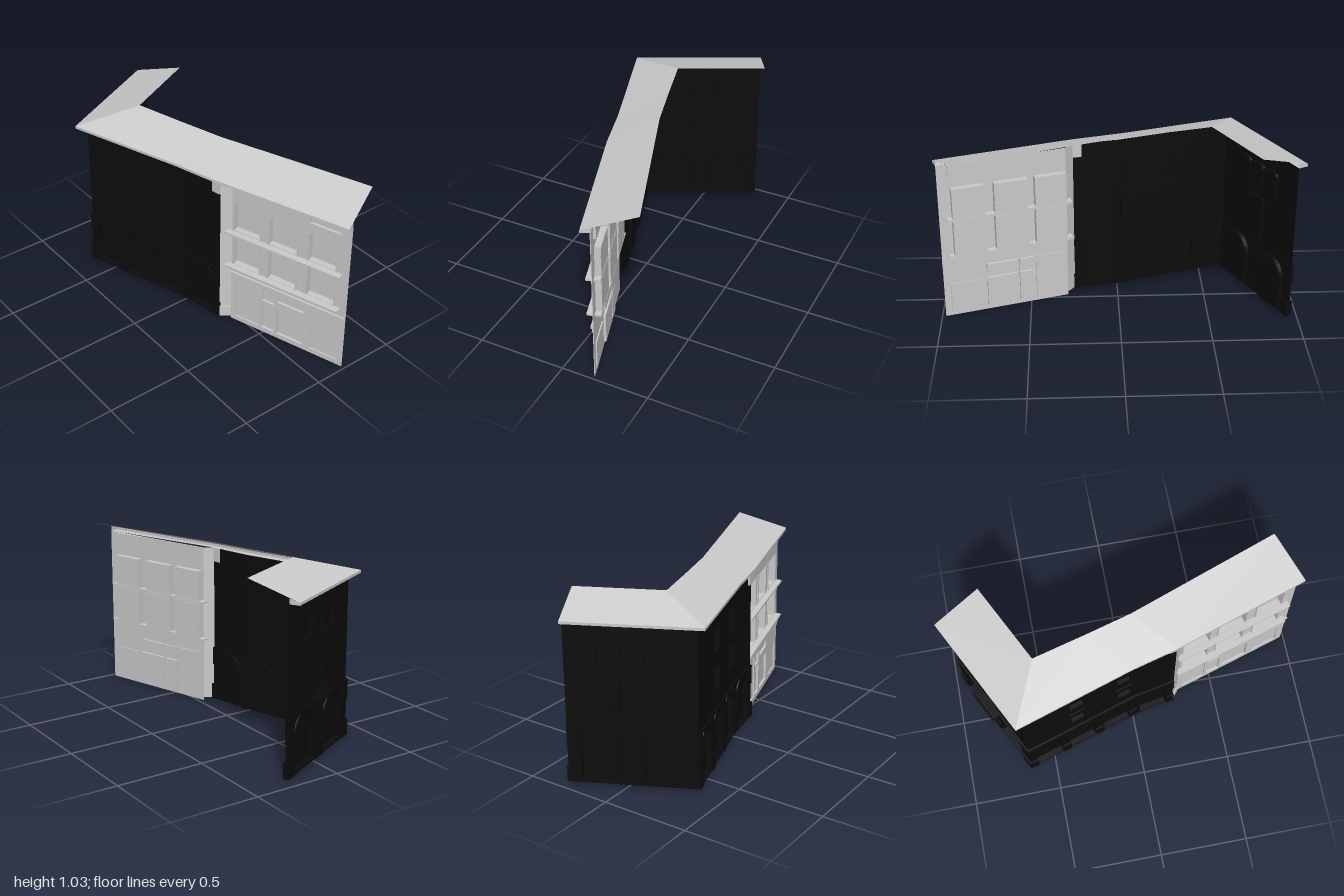
import * as THREE from 'three';

const grey = new THREE.MeshStandardMaterial({ color: 0xcccccc, side: THREE.DoubleSide, flatShading: true });
const dark = new THREE.MeshStandardMaterial({ color: 0x0c0c0c, side: THREE.DoubleSide, flatShading: true });

// Plan points [x, z]: wall line, eave line and high roof edge
const WALL = [[0.285, -0.95], [-0.34, -0.64], [-0.135, 0], [-0.085, 0.25], [-0.035, 0.29], [0.18, 0.98]];
const EAVE = [[0.26, -1], [-0.4, -0.67], [-0.19, -0.02], [-0.12, 0.24], [0.135, 1]];
const RIDGE = [[0.385, -0.74], [-0.06, -0.52], [0.02, -0.22], [0.09, 0.03], [0.4, 0.88]];
const EAVE_LOW = 0.93, EAVE_TOP = 0.945, RIDGE_Y = 1.03;

function add(parent, name, geometry, material) {
  const mesh = new THREE.Mesh(geometry, material);
  mesh.name = name;
  parent.add(mesh);
  return mesh;
}

// Box given by its limits in the wall's own frame (x along, y up, z outward)
function box(parent, name, material, x0, x1, y0, y1, z0, z1) {
  const m = add(parent, name, new THREE.BoxGeometry(x1 - x0, y1 - y0, z1 - z0), material);
  m.position.set((x0 + x1) / 2, (y0 + y1) / 2, (z0 + z1) / 2);
  return m;
}

// Outline of an opening; rise is the height of its arched top
function outline({ x, w, y0, y1, rise = 0 }, grow = 0, Type = THREE.Shape) {
  const h = w / 2 + grow, s = new Type();
  const top = y1 + grow, spring = top - rise;
  s.moveTo(x - h, y0 - grow);
  s.lineTo(x + h, y0 - grow);
  s.lineTo(x + h, spring);
  if (rise) for (let i = 1; i < 14; i++) {
    const a = Math.PI * i / 14;
    s.lineTo(x + h * Math.cos(a), spring + rise * Math.sin(a));
  }
  s.lineTo(x - h, spring);
  s.closePath();
  return s;
}

function slab(parent, name, material, shape, z0, z1) {
  const g = new THREE.ExtrudeGeometry(shape, { depth: z1 - z0, bevelEnabled: false });
  add(parent, name, g, material).position.z = z0;
}

function ring(parent, name, material, o, grow, z0, z1) {
  const s = outline(o, grow);
  s.holes.push(outline(o, 0, THREE.Path));
  slab(parent, name, material, s, z0, z1);
}

// Thin wall between two plan points, with recessed openings
function wall(parent, name, material, a, b, y0, openings = []) {
  const g = new THREE.Group();
  g.name = name;
  const dx = b[0] - a[0], dz = b[1] - a[1], length = Math.hypot(dx, dz);
  g.position.set(a[0], 0, a[1]);
  g.rotation.y = Math.atan2(-dz, dx);
  const s = outline({ x: length / 2, w: length, y0, y1: EAVE_LOW });
  for (const o of openings) {
    const d = o.depth ?? 0.03;
    s.holes.push(outline(o, 0, THREE.Path));
    ring(g, 'reveal', material, o, 0.004, -d, -0.001);
    slab(g, 'recessedPane', material, outline(o, 0.003), -d - 0.003, -d);
    if (o.trim) ring(g, 'openingTrim', material, o, o.trim, 0, 0.008);
  }
  slab(g, 'wallSheet', material, s, -0.004, 0);
  g.userData.length = length;
  parent.add(g);
  return g;
}

// Arcade pier with plinth and capital, standing through the wall
function pier(parent, x, w) {
  box(parent, 'pierPlinth', dark, x - w / 2 - 0.004, x + w / 2 + 0.004, 0.02, 0.11, -0.02, 0.014);
  box(parent, 'pierShaft', dark, x - w / 2 + 0.004, x + w / 2 - 0.004, 0.11, 0.23, -0.012, 0.006);
  box(parent, 'pierCapital', dark, x - w / 2, x + w / 2, 0.23, 0.335, -0.014, 0.01);
}

const arch = (x, w) => ({ x, w, y0: 0.03, y1: 0.32, rise: w * 0.5, depth: 0.025, trim: 0.012 });
const stringCourse = (g) => box(g, 'stringCourse', dark, 0, g.userData.length, 0.332, 0.345, -0.004, 0.012);

// Short wing: two wide arches, balcony window, three arched windows
function shortWing(root) {
  const g = wall(root, 'shortWingWall', dark, WALL[0], WALL[1], 0.02, [
    arch(0.18, 0.21), arch(0.52, 0.21),
    { x: 0.35, w: 0.12, y0: 0.39, y1: 0.625, depth: 0.02, trim: 0.01 },
    ...[-1, 0, 1].map((i) => ({ x: 0.35 + i * 0.125, w: 0.105, y0: 0.7, y1: 0.83, rise: 0.025, depth: 0.02 })),
  ]);
  [[0.03, 0.06], [0.35, 0.09], [0.67, 0.06]].forEach(([x, w]) => pier(g, x, w));
  stringCourse(g);
  // Balcony with railing
  const balcony = new THREE.Group();
  balcony.name = 'railedBalcony';
  g.add(balcony);
  box(balcony, 'balconyFloor', dark, 0.26, 0.44, 0.365, 0.375, 0, 0.062);
  box(balcony, 'handrail', dark, 0.26, 0.44, 0.452, 0.458, 0.056, 0.062);
  for (const x of [0.26, 0.436]) box(balcony, 'sideRail', dark, x, x + 0.004, 0.452, 0.458, 0, 0.06);
  for (let i = 0; i <= 12; i++) {
    const x = 0.26 + i * 0.0147;
    box(balcony, 'baluster', dark, x, x + 0.003, 0.375, 0.453, 0.058, 0.061);
  }
}

// Long wing: arcade with small windows over it
function longWing(root) {
  const windows = [0.32, 0.612].flatMap((x) => [[0.46, 0.575], [0.685, 0.8]]
    .map(([y0, y1]) => ({ x, w: 0.08, y0, y1, depth: 0.015, trim: 0.006 })));
  const a = wall(root, 'longWingWall', dark, WALL[1], WALL[2], 0.02,
    [arch(0.12, 0.165), arch(0.338, 0.165), arch(0.562, 0.165), ...windows]);
  [0.015, 0.229, 0.45, 0.67].forEach((x) => pier(a, x, 0.046));
  const b = wall(root, 'longWingEndWall', dark, WALL[2], WALL[3], 0.02, [arch(0.125, 0.165)]);
  pier(b, 0.237, 0.036);
  [a, b].forEach(stringCourse);
  box(b, 'eaveCorbel', grey, 0.205, 0.255, 0.85, 0.93, -0.006, 0.012);
}

// Pale house: shop front, two window rows with through balconies
function paleHouse(root) {
  const c = wall(root, 'cornerWall', grey, WALL[3], WALL[4], 0.02);
  box(c, 'cornerPlinth', grey, 0, c.userData.length, 0.02, 0.085, -0.004, 0.008);
  const U = (z) => (z - 0.29) * 1.048;
  const hole = (z0, z1, y0, y1, depth) => ({ x: U((z0 + z1) / 2), w: (z1 - z0) * 1.048, y0, y1, depth });
  const columns = [[0.3, 0.465], [0.512, 0.685], [0.745, 0.91]];
  const g = wall(root, 'paleFacade', grey, WALL[4], WALL[5], 0, [
    ...columns.flatMap(([a, b]) => [hole(a, b, 0.393, 0.595, 0.035), hole(a, b, 0.62, 0.79, 0.035)]),
    hole(0.745, 0.92, 0.855, 0.925, 0.015),
    hole(0.58, 0.74, 0.03, 0.205, 0.015), hole(0.58, 0.74, 0.25, 0.29, 0.015),
    hole(0.485, 0.56, 0.03, 0.205, 0.015), hole(0.485, 0.56, 0.22, 0.29, 0.015),
    hole(0.32, 0.465, 0.03, 0.29, 0.008), hole(0.785, 0.94, 0.03, 0.2, 0.008),
  ]);
  for (const y of [0.375, 0.6]) {
    box(g, 'balconySlab', grey, U(0.27), U(0.94), y, y + 0.013, -0.036, 0.036);
    box(g, 'balconyLip', grey, U(0.265), U(0.945), y + 0.007, y + 0.016, -0.039, 0.039);
  }
  // Slim window posts
  for (const [a, b] of columns) for (const z of [a, b]) {
    box(g, 'windowPost', grey, U(z) - 0.004, U(z) + 0.004, 0.39, 0.6, -0.037, 0.006);
    box(g, 'windowPost', grey, U(z) - 0.004, U(z) + 0.004, 0.615, 0.795, -0.037, 0.006);
  }
  box(g, 'shopCornice', grey, 0, g.userData.length, 0.325, 0.338, 0, 0.012);
  box(g, 'shopFascia', grey, 0, g.userData.length, 0.3, 0.325, 0, 0.005);
}

// Single-pitch roof, low on the street side, with fascia and soffit
function roof(root) {
  const g = new THREE.Group();
  g.name = 'roof';
  root.add(g);
  const at = ([x, z], y) => [x, y, z];
  const sheet = (name, quads) => {
    const geo = new THREE.BufferGeometry();
    const pos = quads.flatMap(([a, b, c, d]) => [a, b, c, a, c, d]).flat();
    geo.setAttribute('position', new THREE.Float32BufferAttribute(pos, 3));
    geo.computeVertexNormals();
    add(g, name, geo, grey);
  };
  const inner = [0, 1, 2, 3, 5].map((i) => WALL[i]);
  const strip = (p, py, q, qy) => p.slice(1).map((_, i) =>
    [at(p[i], py), at(p[i + 1], py), at(q[i + 1], qy), at(q[i], qy)]);
  sheet('roofSlope', strip(EAVE, EAVE_TOP, RIDGE, RIDGE_Y));
  sheet('fascia', strip(EAVE, EAVE_LOW, EAVE, EAVE_TOP));
  sheet('soffit', strip(inner, EAVE_LOW, EAVE, EAVE_LOW));
  sheet('vergeEnds', [0, 4].map((i) =>
    [at(EAVE[i], EAVE_LOW), at(inner[i], EAVE_LOW), at(inner[i], 0.96), at(EAVE[i], EAVE_TOP)]));
}

export function createModel() {
  const root = new THREE.Group();
  root.name = 'cornerBuilding';
  shortWing(root);
  longWing(root);
  paleHouse(root);
  roof(root);
  return root;
}
